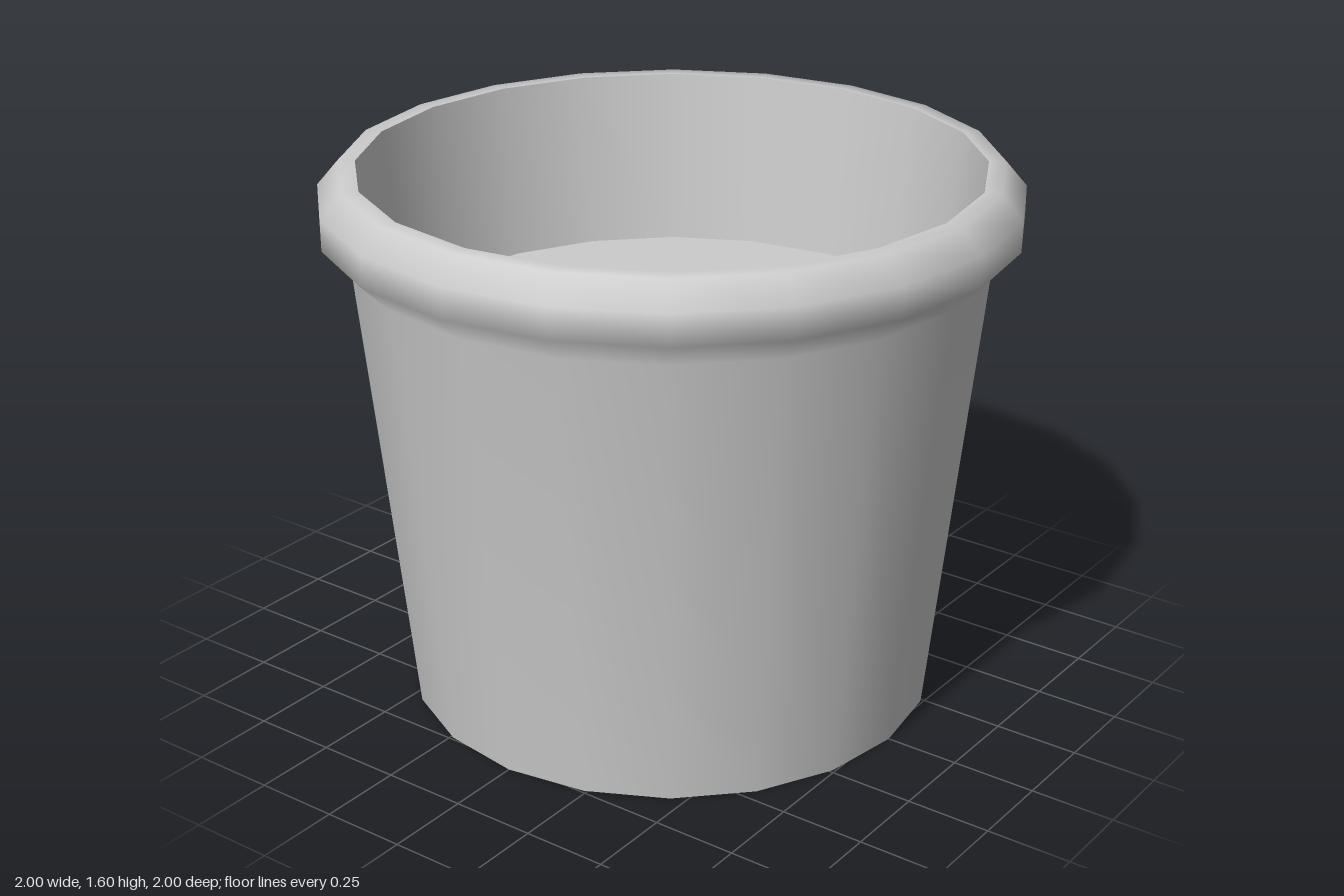
import * as THREE from 'three';

const SIDES = 20;

export function createModel() {
  const pot = new THREE.Group();
  pot.name = 'flowerPot';
  const material = new THREE.MeshStandardMaterial({ color: 0xcccccc });

  const add = (name, geometry) => {
    const mesh = new THREE.Mesh(geometry, material);
    mesh.name = name;
    pot.add(mesh);
    return mesh;
  };
  // Profiles run up the outside, over the lip and down the inside
  const turn = (name, profile) =>
    add(name, new THREE.LatheGeometry(profile.map(([r, y]) => new THREE.Vector2(r, y)), SIDES));

  // Tapered wall flowing into the chamfered rim
  turn('outerWallAndRim', [[0.78, 0], [0.92, 1.36], [1, 1.44], [1, 1.53], [0.94, 1.6], [0.89, 1.6]]);

  // Inside wall, parallel to the outer wall, down to the soil
  turn('innerWall', [[0.89, 1.6], [0.83, 1.08]]);

  // Flat soil inside and flat base underneath
  const soil = add('soil', new THREE.CircleGeometry(0.83, SIDES));
  soil.rotation.x = -Math.PI / 2;
  soil.position.y = 1.08;

  const base = add('base', new THREE.CircleGeometry(0.78, SIDES));
  base.rotation.x = Math.PI / 2;

  return pot;
}
